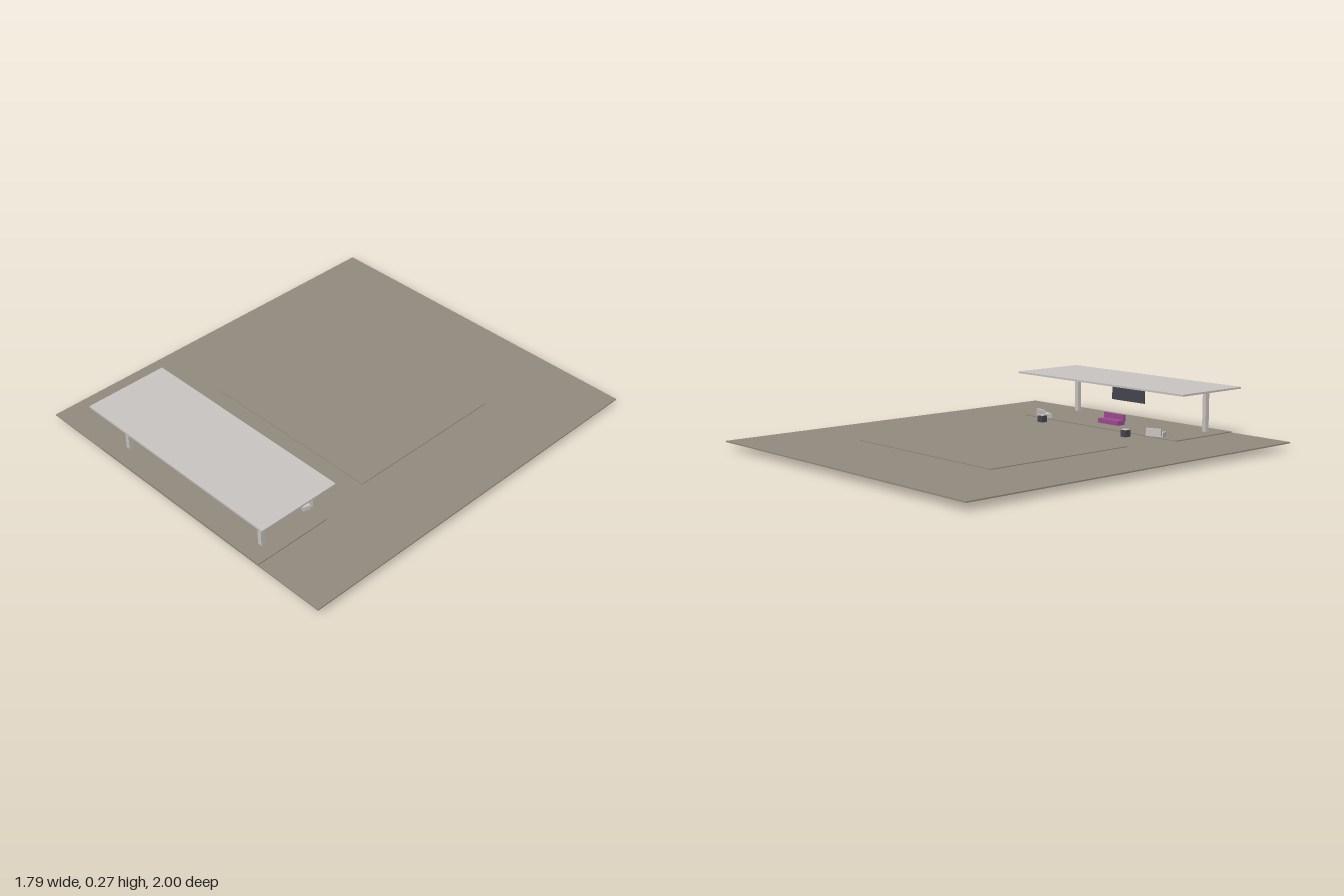
import * as THREE from 'three';

export function createModel() {
  const model = new THREE.Group();
  const paint = (name, color) => {
    const m = new THREE.MeshStandardMaterial({ color });
    m.name = name;
    return m;
  };
  const ground = paint('warm grey ground', 0x938c80);
  const pale = paint('pale grey', 0xcbc6c3);
  const teal = paint('pool teal', 0x3a9a94);
  const purple = paint('sofa purple', 0xa04c94);
  const dark = paint('charcoal', 0x464650);

  // Box given by its ranges along each axis
  const box = (name, mat, [x0, x1], [y0, y1], [z0, z1], parent = model) => {
    const mesh = new THREE.Mesh(new THREE.BoxGeometry(x1 - x0, y1 - y0, z1 - z0), mat);
    mesh.position.set((x0 + x1) / 2, (y0 + y1) / 2, (z0 + z1) / 2);
    mesh.name = name;
    parent.add(mesh);
    return mesh;
  };

  // Ground, sunken pool and the two raised slabs
  box('ground', ground, [-0.895, 0.895], [0.034, 0.04], [-1, 0.99]);
  box('pool', teal, [-0.4, 0.4], [0, 0.036], [-0.45, 0.25]);
  box('poolDeck', ground, [-0.48, 0.48], [0.039, 0.044], [-0.52, 0.315]);
  box('patio', ground, [-0.535, 0.535], [0.039, 0.045], [0.59, 0.99]);

  // Pavilion roof with hanging screen
  box('roof', pale, [-0.58, 0.58], [0.261, 0.27], [0.58, 1]);
  box('screen', dark, [-0.113, 0.113], [0.152, 0.25], [0.812, 0.818]);

  // Sofa facing the pool
  const sofa = new THREE.Group();
  sofa.name = 'sofa';
  model.add(sofa);
  box('sofaSeat', purple, [-0.07, 0.07], [0.05, 0.073], [0.668, 0.715], sofa);
  box('sofaBack', purple, [-0.07, 0.07], [0.066, 0.1], [0.71, 0.722], sofa);

  for (const s of [-1, 1]) {
    // Roof post
    box('post', pale, [s * 0.45 - 0.011, s * 0.45 + 0.011], [0.044, 0.262], [0.882, 0.905]);

    // Side table with pale top
    const x = s * 0.295;
    box('sideTable', dark, [x - 0.017, x + 0.017], [0.045, 0.079], [0.475, 0.508]);
    box('sideTableTop', pale, [x - 0.017, x + 0.017], [0.079, 0.081], [0.475, 0.508]);

    // Lounge seat turned inwards
    const lounge = new THREE.Group();
    lounge.name = 'lounge';
    lounge.position.set(s * 0.393, 0, 0.604);
    lounge.rotation.y = -s * 0.3;
    model.add(lounge);
    box('loungeSeat', pale, [-0.045, 0.045], [0.047, 0.07], [-0.02, 0.016], lounge);
    box('loungeBack', pale, [-0.04, 0.04], [0.052, 0.088], [-0.034, -0.02], lounge);
  }
  return model;
}
